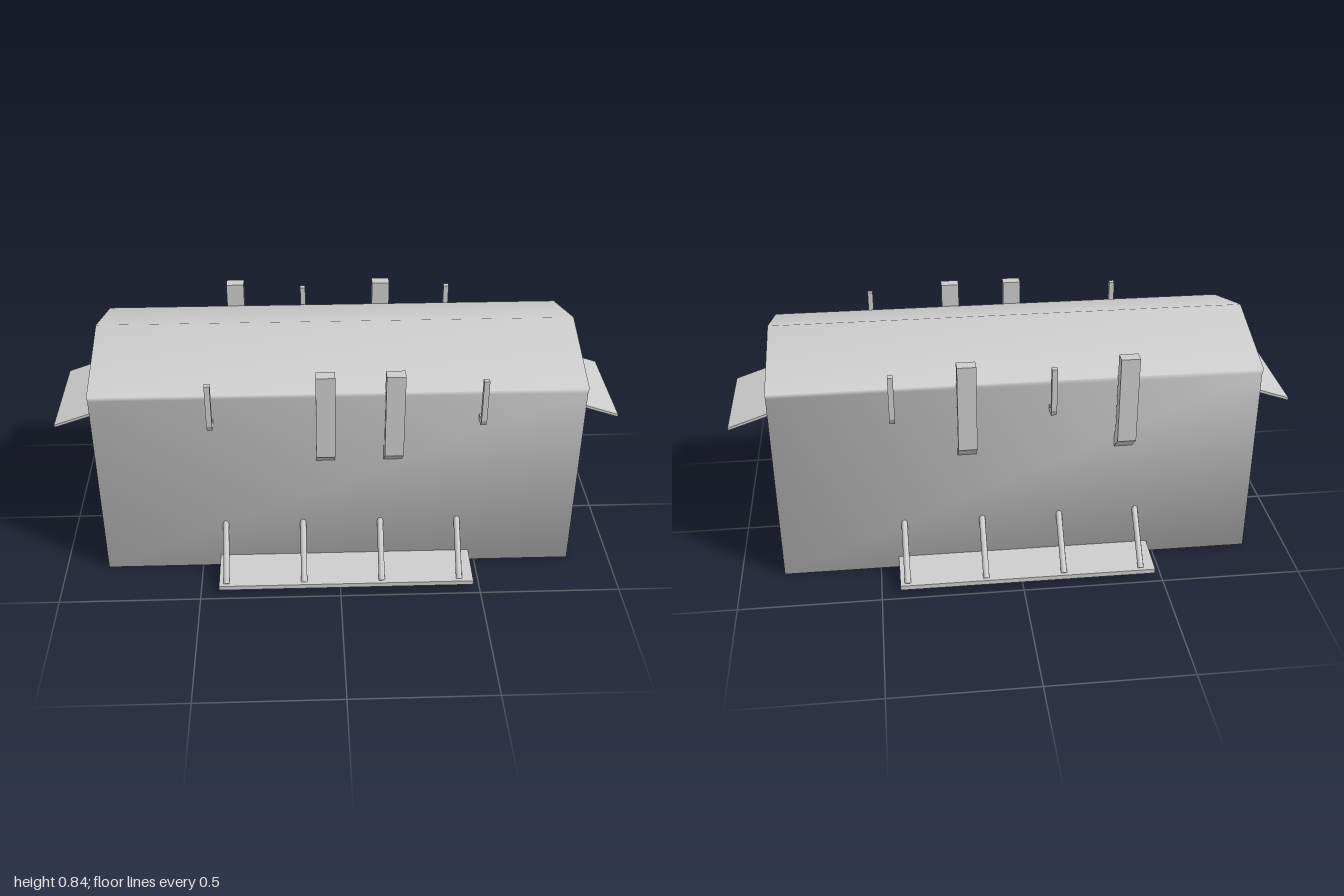
import * as THREE from 'three';
import { mergeVertices } from 'three/addons/utils/BufferGeometryUtils.js';

const material = new THREE.MeshStandardMaterial({ color: 0xcccccc });

// Extrudes an outline given in (z, y) along x, centred on the given x
function prism(points, width, x = 0) {
  const shape = new THREE.Shape(points.map(([z, y]) => new THREE.Vector2(z, y)));
  const geometry = new THREE.ExtrudeGeometry(shape, { depth: width, bevelEnabled: false });
  geometry.rotateY(-Math.PI / 2);
  return geometry.translate(x + width / 2, 0, 0);
}

function add(group, name, geometry) {
  const mesh = new THREE.Mesh(geometry, material);
  mesh.name = name;
  group.add(mesh);
  return mesh;
}

// Round bar between two points
function bar(a, b, radius) {
  const direction = b.clone().sub(a);
  const geometry = new THREE.CylinderGeometry(radius, radius, direction.length(), 8);
  geometry.applyQuaternion(new THREE.Quaternion().setFromUnitVectors(
    new THREE.Vector3(0, 1, 0), direction.normalize()));
  const mid = a.clone().add(b).multiplyScalar(0.5);
  return geometry.translate(mid.x, mid.y, mid.z);
}

const DUCT = [[0.37, 0.826], [0.327, 0.826], [0.327, 0.53], [0.3, 0.51],
  [0.3, 0.452], [0.312, 0.46], [0.37, 0.512]];
const PIPE = [[0.367, 0.8], [0.346, 0.8], [0.346, 0.653], [0.337, 0.64],
  [0.3, 0.64], [0.3, 0.62], [0.352, 0.62], [0.367, 0.645]];
const PLATFORM = [[0.3, 0.018], [0.476, 0.018], [0.476, 0.035], [0.43, 0.038], [0.3, 0.046]];

// Fittings of one long wall: ducts, thin pipes and a braced platform
function wallFittings(name, ducts, pipes) {
  const group = new THREE.Group();
  group.name = name;
  for (const x of ducts) add(group, 'duct', prism(DUCT, 0.065, x));
  for (const x of pipes) add(group, 'pipe', prism(PIPE, 0.019, x));
  add(group, 'platform', prism(PLATFORM, 0.91, 0.021));
  for (const x of [-0.408, -0.13, 0.148, 0.426]) {
    add(group, 'platformBrace', bar(
      new THREE.Vector3(x, 0.2, 0.3), new THREE.Vector3(x, 0.034, 0.461), 0.011));
  }
  return group;
}

export function createModel() {
  const model = new THREE.Group();
  model.name = 'building';

  // Main block with pitched roof and small eaves, softly shaded throughout
  let body = prism([[-0.312, 0], [0.312, 0], [0.312, 0.717], [0.325, 0.74],
    [0, 0.841], [-0.325, 0.74], [-0.312, 0.717]], 1.693);
  body.deleteAttribute('normal');
  body.deleteAttribute('uv');
  body = mergeVertices(body);
  body.computeVertexNormals();
  add(model, 'body', body);

  // Front and back walls
  model.add(wallFittings('frontFittings', [-0.048, 0.187], [-0.44, 0.489]));
  const back = wallFittings('backFittings', [0.37, -0.18], [0.115, -0.432]);
  back.rotation.y = Math.PI;
  model.add(back);

  // Sloping awnings on both ends
  for (const side of [1, -1]) {
    const awning = add(model, side > 0 ? 'leftAwning' : 'rightAwning',
      prism([[0.83, 0.595], [0.998, 0.538], [1, 0.547], [0.83, 0.606]], 0.378));
    awning.rotation.y = side * Math.PI / 2;
  }
  return model;
}
